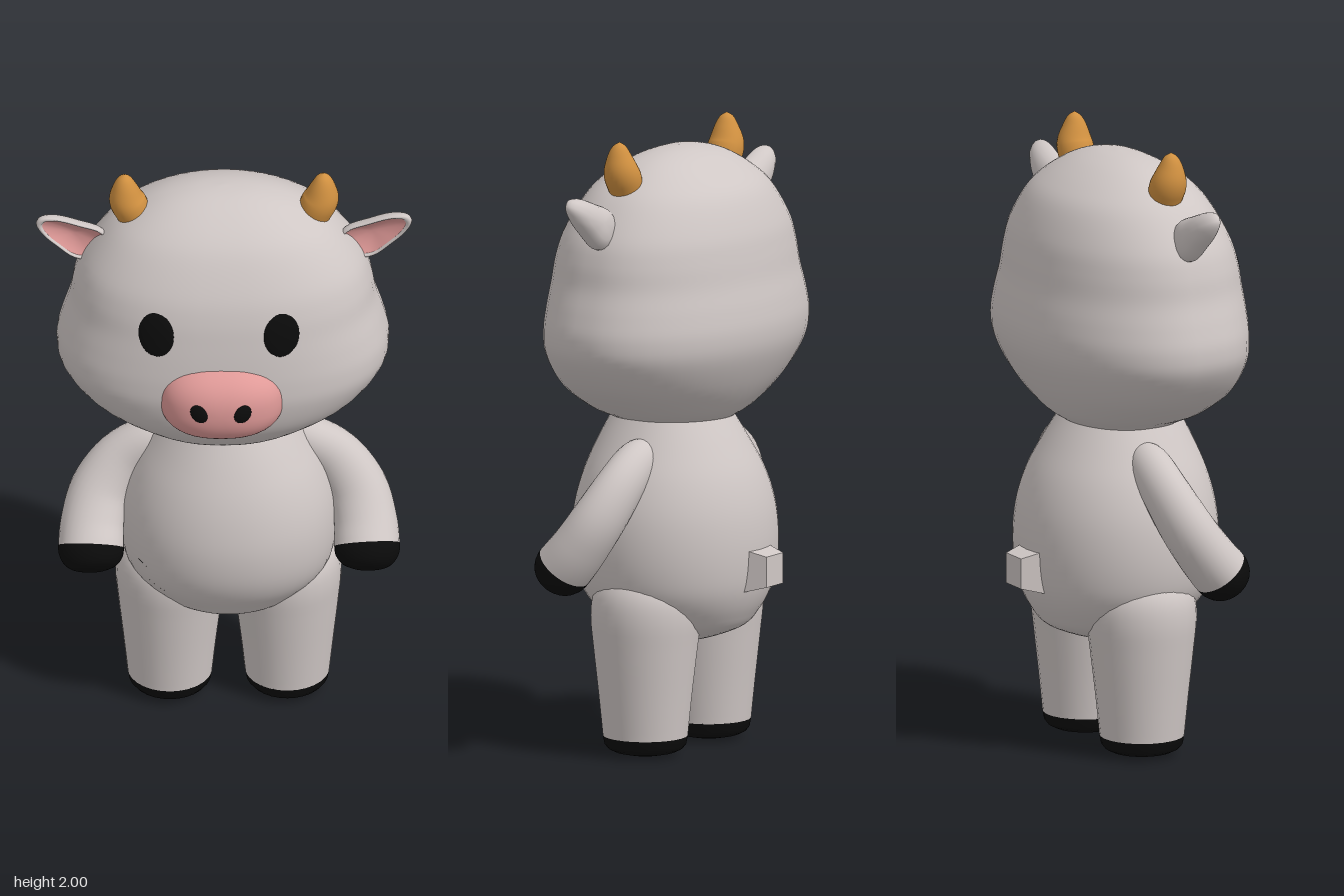
import * as THREE from 'three';
import { mergeVertices } from 'three/addons/utils/BufferGeometryUtils.js';

const V = (x, y, z) => new THREE.Vector3(x, y, z);
const paint = (name, color) => Object.assign(new THREE.MeshStandardMaterial({ color }), { name });
const SIDES = 48;

// Catmull-Rom interpolation of rows of numbers, n steps per span
function smooth(rows, n) {
  const out = [], at = i => rows[Math.min(Math.max(i, 0), rows.length - 1)];
  for (let i = 0; i < rows.length - 1; i++) {
    for (let k = 0; k < n; k++) {
      const t = k / n;
      out.push(rows[i].map((b, j) => {
        const a = at(i - 1)[j], c = at(i + 1)[j], d = at(i + 2)[j];
        return b + 0.5 * t * (c - a + t * (2 * a - 5 * b + 4 * c - d + t * (3 * (b - c) + d - a)));
      }));
    }
  }
  out.push(rows[rows.length - 1]);
  return out;
}

// Skin over closed rings of points
function skin(rings) {
  const n = rings[0].length, pos = [], idx = [];
  rings.forEach(r => r.forEach(p => pos.push(p.x, p.y, p.z)));
  for (let r = 0; r < rings.length - 1; r++) {
    for (let c = 0; c < n; c++) {
      const a = r * n + c, b = r * n + (c + 1) % n;
      idx.push(a, a + n, b, a + n, b + n, b);
    }
  }
  let g = new THREE.BufferGeometry();
  g.setAttribute('position', new THREE.Float32BufferAttribute(pos, 3));
  g.setIndex(idx);
  g = mergeVertices(g, 1e-5);
  g.computeVertexNormals();
  return g;
}
const mirror = rings => rings.map(r => r.map(p => V(-p.x, p.y, p.z)).reverse());

// Rounded volume from rows of [y, half width, front z, back z]
function volume(rows, cx, cz, nFront) {
  const levels = smooth(rows, 5);
  const rings = levels.map(([y, w, f, b]) => Array.from({ length: SIDES }, (_, i) => {
    const a = i / SIDES * Math.PI * 2, c = Math.cos(a), s = Math.sin(a);
    const e = s > 0 ? 2 / nFront : 1;
    return V(cx + Math.max(w, 0) * Math.sign(c) * Math.abs(c) ** e, y,
      cz + (s > 0 ? (f - cz) * s ** e : (b - cz) * -s));
  }));
  // Height of the front surface, used to lay details onto it
  const frontZ = (x, y) => {
    const i = Math.max(1, levels.findIndex(l => l[0] >= y));
    const p = levels[i - 1], q = levels[i], t = (y - p[0]) / (q[0] - p[0]);
    const w = p[1] + (q[1] - p[1]) * t, f = p[2] + (q[2] - p[2]) * t;
    const k = Math.min(1, Math.abs(x - cx) / w);
    return cz + (f - cz) * (1 - k ** nFront) ** (1 / nFront);
  };
  return { geometry: skin(rings), frontZ };
}

// Rings sweeping along stations of [x, y, z, radius across, radius in depth]
function sweep(stations) {
  return stations.map(([x, y, z, ru, rv], i) => {
    const p = stations[Math.max(i - 1, 0)], q = stations[Math.min(i + 1, stations.length - 1)];
    const t = V(q[0] - p[0], q[1] - p[1], q[2] - p[2]).normalize();
    const v = V(0, 0, 1).addScaledVector(t, -t.z).normalize();
    const u = V().crossVectors(t, v);
    return Array.from({ length: 28 }, (_, k) => {
      const a = k / 28 * Math.PI * 2;
      return V(x, y, z).addScaledVector(u, Math.max(ru, 0) * Math.cos(a)).addScaledVector(v, Math.max(rv, 0) * Math.sin(a));
    });
  });
}

// Front-facing domed plate inside an outline; depth(x, y, s) gives z, s is 0 at the centre and 1 at the rim
function plate(cx, cy, outline, depth, steps = 10) {
  return skin(Array.from({ length: steps + 1 }, (_, i) => {
    const s = Math.sin(i / steps * Math.PI / 2);
    return outline.map(([px, py]) => {
      const x = cx + px * s, y = cy + py * s;
      return V(x, y, depth(x, y, s));
    });
  }));
}
const oval = (rx, ry, n = 2, tilt = 0) => Array.from({ length: 40 }, (_, i) => {
  const a = i / 40 * Math.PI * 2, c = Math.cos(a), s = Math.sin(a);
  const x = rx * Math.sign(c) * Math.abs(c) ** (2 / n), y = ry * Math.sign(s) * Math.abs(s) ** (2 / n);
  return [x * Math.cos(tilt) - y * Math.sin(tilt), x * Math.sin(tilt) + y * Math.cos(tilt)];
});
const closedOutline = (pts, n) => new THREE.CatmullRomCurve3(pts.map(p => V(p[0], p[1], 0)), true)
  .getPoints(n).slice(0, n).map(p => [p.x, p.y]);

export function createModel() {
  const hide = paint('hide grey', 0xcfc7c5), black = paint('black', 0x0b0b0b);
  const pink = paint('pink', 0xe09a98), horn = paint('horn tan', 0xd09040);
  const model = new THREE.Group();
  const add = (name, geometry, material) => {
    const m = new THREE.Mesh(geometry, material);
    m.name = name;
    model.add(m);
    return m;
  };
  // Adds a part on the left and its mirror on the right, both about x = cx
  const addPair = (name, rings, material, cx = 0) => {
    add('left' + name, skin(rings), material).position.x = cx;
    add('right' + name, skin(mirror(rings)), material).position.x = cx;
  };

  // Head with full cheeks
  const head = volume([
    [1.052, 0, -0.03, -0.03], [1.056, 0.15, 0.13, -0.16], [1.08, 0.215, 0.185, -0.215], [1.12, 0.31, 0.235, -0.265],
    [1.2, 0.435, 0.29, -0.325], [1.3, 0.515, 0.317, -0.375], [1.38, 0.53, 0.32, -0.39], [1.46, 0.513, 0.315, -0.383],
    [1.54, 0.488, 0.306, -0.367], [1.62, 0.473, 0.293, -0.355], [1.7, 0.443, 0.268, -0.337], [1.8, 0.37, 0.215, -0.292],
    [1.86, 0.298, 0.165, -0.235], [1.91, 0.205, 0.095, -0.16], [1.937, 0.105, 0.03, -0.09], [1.945, 0, -0.03, -0.03],
  ], -0.003, -0.03, 2.35);
  add('head', head.geometry, hide);

  // Pear-shaped body
  const CX = 0.015;
  const body = volume([
    [0.345, 0, -0.03, -0.03], [0.355, 0.09, 0.06, -0.13], [0.4, 0.2, 0.155, -0.255], [0.45, 0.265, 0.2, -0.3],
    [0.52, 0.32, 0.25, -0.332], [0.6, 0.343, 0.28, -0.347], [0.7, 0.348, 0.29, -0.35], [0.8, 0.335, 0.28, -0.338],
    [0.9, 0.3, 0.255, -0.307], [1.0, 0.245, 0.215, -0.255], [1.1, 0.185, 0.165, -0.195],
  ], CX, -0.03, 2.1);
  add('body', body.geometry, hide);

  // Eyes
  for (const [name, x] of [['rightEye', -0.22], ['leftEye', 0.18]]) {
    add(name, plate(x, 1.575, oval(0.058, 0.076),
      (px, py, s) => head.frontZ(px, py) - 0.003 + 0.012 * Math.sqrt(1 - s * s)), black);
  }

  // Snout and nostrils
  const snoutOutline = oval(0.198, 0.136, 2.4);
  const snoutZ = s => 0.275 + 0.12 * Math.sqrt(Math.max(0, 1 - s ** 2.3));
  add('snout', plate(-0.01, 1.33, snoutOutline, (x, y, s) => snoutZ(s), 16), pink);
  for (const [name, x, tilt] of [['rightNostril', -0.085, 0.45], ['leftNostril', 0.055, -0.45]]) {
    add(name, plate(x, 1.342, oval(0.026, 0.033, 2, tilt), (px, py, s) =>
      snoutZ(Math.hypot((px + 0.01) / 0.198, (py - 1.33) / 0.136)) + 0.001 + 0.007 * Math.sqrt(1 - s * s), 6), black);
  }

  // Horns
  addPair('Horn', sweep(smooth([
    [0.28, 1.81, -0.015, 0.045, 0.045], [0.295, 1.865, -0.015, 0.057, 0.058], [0.311, 1.905, -0.013, 0.056, 0.057],
    [0.316, 1.95, -0.01, 0.041, 0.041], [0.317, 1.985, -0.01, 0.022, 0.022], [0.317, 2.0, -0.01, 0, 0],
  ], 5)), horn);

  // Cupped ears: pink hollow, then grey rim and back
  const earOutline = closedOutline([[0.6, 1.825], [0.585, 1.847], [0.54, 1.849], [0.46, 1.822], [0.38, 1.785],
    [0.36, 1.72], [0.42, 1.672], [0.475, 1.677], [0.535, 1.73], [0.58, 1.78]], 40);
  const earRing = (s, z) => earOutline.map(([x, y]) => {
    const py = 1.765 + (y - 1.765) * s;
    return V(0.475 + (x - 0.475) * s, py, z + (py - 1.765) * 0.15);
  });
  const hollow = [0, 0.2, 0.4, 0.6, 0.75, 0.84].map(s => earRing(s, -0.025 + 0.025 * (s / 0.84) ** 2));
  const shell = [[0.84, 0], [0.88, 0.008], [0.94, 0.009], [0.98, 0.005], [1, -0.004], [0.98, -0.015],
    [0.92, -0.026], [0.8, -0.038], [0.6, -0.048], [0.3, -0.054], [0, -0.055]].map(([s, z]) => earRing(s, z));
  addPair('InnerEar', hollow, pink);
  addPair('Ear', shell, hide);

  // Arms bending forward, with black hooves
  const arm = sweep(smooth([
    [0.16, 0.98, -0.04, 0.04, 0.04], [0.24, 0.96, -0.04, 0.07, 0.065], [0.34, 0.89, -0.035, 0.085, 0.073],
    [0.41, 0.79, 0, 0.095, 0.082], [0.435, 0.7, 0.055, 0.101, 0.088], [0.44, 0.635, 0.107, 0.105, 0.092],
    [0.442, 0.61, 0.13, 0.1, 0.087], [0.443, 0.59, 0.15, 0.08, 0.07], [0.443, 0.579, 0.161, 0.045, 0.04],
    [0.443, 0.576, 0.164, 0, 0],
  ], 5));
  addPair('Arm', arm.slice(0, 26), hide, CX);
  addPair('HandHoof', arm.slice(25), black, CX);

  // Legs with black soles
  const upright = rows => sweep(rows.map(([y, x, r]) => [x, y, -0.035, r, r]));
  addPair('Leg', upright(smooth([[0.063, 0.187, 0.136], [0.2, 0.187, 0.15], [0.35, 0.186, 0.167],
    [0.45, 0.184, 0.177], [0.52, 0.18, 0.167], [0.58, 0.17, 0.12]], 4)), hide, CX);
  addPair('FootHoof', upright([[0, 0.187, 0], [0.003, 0.187, 0.06], [0.012, 0.187, 0.1], [0.022, 0.187, 0.12],
    [0.036, 0.187, 0.131], [0.063, 0.187, 0.136]]), black, CX);

  // Belly spot
  const spot = closedOutline([[-0.23, 0.704], [-0.165, 0.68], [-0.105, 0.612], [-0.13, 0.58], [-0.14, 0.54],
    [-0.18, 0.515], [-0.25, 0.553], [-0.247, 0.6], [-0.288, 0.625], [-0.28, 0.665]], 50).map(([x, y]) => [x + 0.2, y - 0.61]);
  add('bellySpot', plate(-0.2, 0.61, spot,
    (x, y, s) => body.frontZ(x, y) - 0.002 + 0.009 * Math.sqrt(1 - s ** 4)), black);

  // Short tapered square tail
  const tail = new THREE.CylinderGeometry(0.07, 0.1, 0.08, 4).toNonIndexed();
  tail.rotateY(Math.PI / 4).rotateX(-Math.PI / 2).computeVertexNormals();
  add('tail', tail, hide).position.set(0.01, 0.603, -0.362);

  return model;
}
